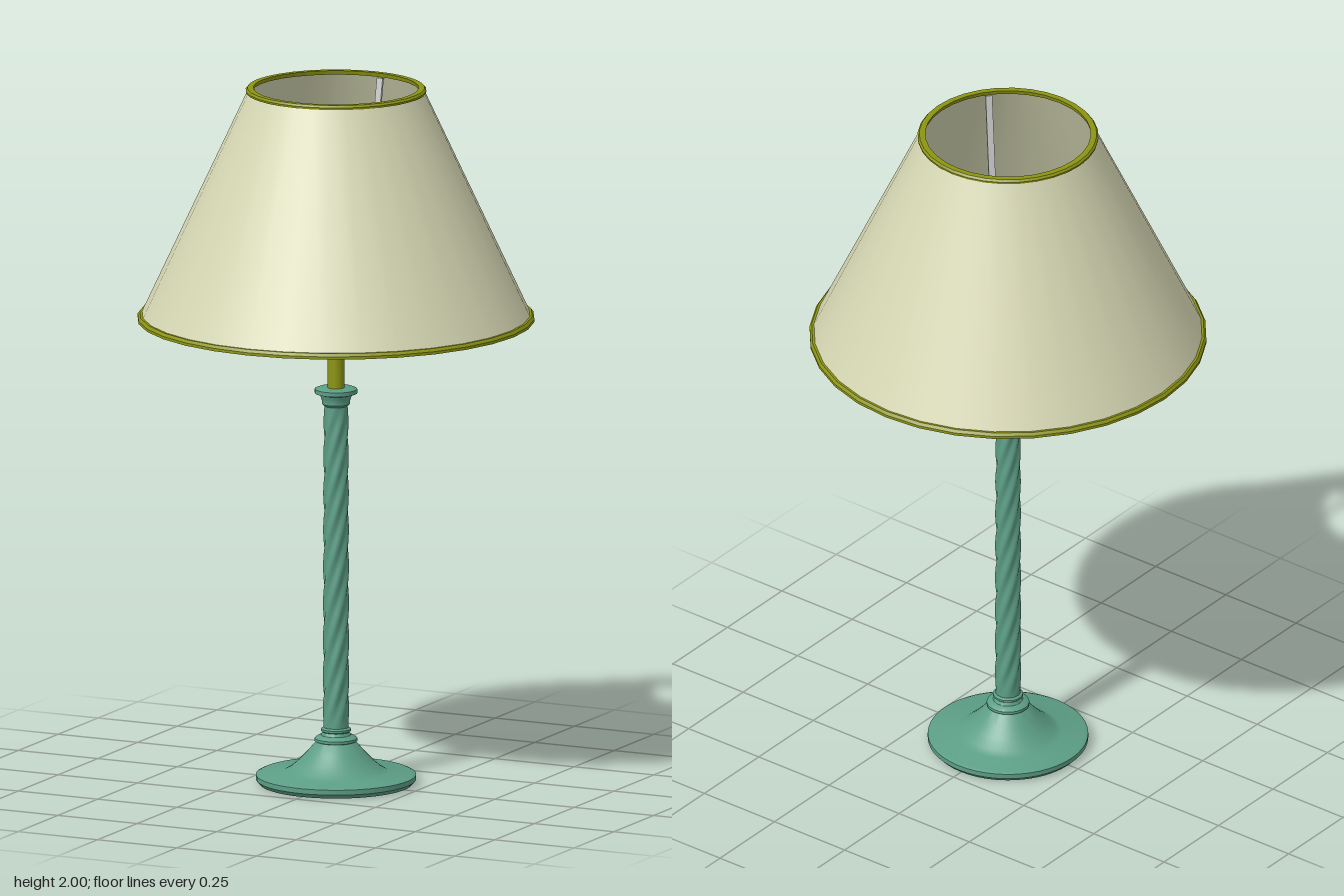
import * as THREE from 'three';
import { toCreasedNormals } from 'three/addons/utils/BufferGeometryUtils.js';

const material = (color) => new THREE.MeshStandardMaterial({ color, side: THREE.DoubleSide });

export function createModel() {
  const lamp = new THREE.Group();
  lamp.name = 'tableLamp';
  const green = material(0x5c9e86);
  const olive = material(0x8c9412);
  const cream = material(0xd6d7b3);
  const grey = material(0xcccccc);

  const add = (name, geometry, mat, parent = lamp) => {
    const mesh = new THREE.Mesh(geometry, mat);
    mesh.name = name;
    parent.add(mesh);
    return mesh;
  };
  // Profile of [radius, height] pairs spun about the lamp's axis, hard edges kept
  const lathe = (name, profile, mat, sides = 32) => {
    const points = profile.map(([r, y]) => new THREE.Vector2(r, y));
    return add(name, toCreasedNormals(new THREE.LatheGeometry(points, sides), 0.6), mat);
  };

  // Base: flat rimmed disc sweeping up into a concave cone
  lathe('base', [
    [0, 0], [0.215, 0], [0.226, 0.012], [0.226, 0.026], [0.215, 0.031], [0.15, 0.033],
    [0.13, 0.044], [0.105, 0.066], [0.082, 0.09], [0.062, 0.113], [0.054, 0.12],
    [0.06, 0.122], [0.06, 0.13], [0.052, 0.136], [0.042, 0.139], [0.038, 0.148],
    [0.042, 0.151], [0.042, 0.157], [0.034, 0.162], [0, 0.162],
  ], green, 48);

  // Column: cylinder with spiral flutes
  const columnHeight = 0.95;
  const column = new THREE.CylinderGeometry(0.033, 0.035, columnHeight, 48, 72, true);
  const p = column.attributes.position;
  for (let i = 0; i < p.count; i++) {
    const t = p.getY(i) / columnHeight + 0.5;
    const angle = Math.atan2(p.getZ(i), p.getX(i));
    const fade = Math.min(1, 12 * t, 12 * (1 - t));
    const scale = 1 + 0.075 * fade * Math.cos(6 * (angle + t * Math.PI * 3));
    p.setX(i, p.getX(i) * scale);
    p.setZ(i, p.getZ(i) * scale);
  }
  column.computeVertexNormals();
  add('spiralColumn', column, green).position.y = 0.155 + columnHeight / 2;

  // Collar capping the column
  lathe('collar', [
    [0.033, 1.085], [0.04, 1.092], [0.04, 1.102], [0.043, 1.11], [0.046, 1.118],
    [0.06, 1.122], [0.06, 1.134], [0.05, 1.138], [0, 1.138],
  ], green);

  // Hollow stem and lamp holder
  lathe('stem', [[0.024, 1.13], [0.024, 1.285]], olive, 24);
  lathe('socket', [
    [0.024, 1.28], [0.044, 1.28], [0.053, 1.288], [0.056, 1.3], [0.056, 1.33],
    [0.061, 1.332], [0.061, 1.348], [0.05, 1.35], [0.05, 1.362], [0.056, 1.364],
    [0.056, 1.39], [0.052, 1.398], [0.044, 1.398], [0.044, 1.3], [0.025, 1.3],
  ], grey);

  // Shade carrier: three flat arms, each running out and then up to the top ring
  const carrier = new THREE.Group();
  carrier.name = 'shadeCarrier';
  lamp.add(carrier);
  const bar = (name, [r0, y0], [r1, y1], width, parent) => {
    const length = Math.hypot(r1 - r0, y1 - y0);
    const mesh = add(name, new THREE.BoxGeometry(length, 0.007, width), grey, parent);
    mesh.position.set((r0 + r1) / 2, (y0 + y1) / 2, 0);
    mesh.rotation.z = Math.atan2(y1 - y0, r1 - r0);
  };
  for (const degrees of [-85, 39, 163]) {
    const arm = new THREE.Group();
    arm.name = 'carrierArm';
    arm.rotation.y = -THREE.MathUtils.degToRad(degrees);
    carrier.add(arm);
    bar('armFoot', [0.055, 1.34], [0.132, 1.34], 0.016, arm);
    bar('armUpright', [0.13, 1.337], [0.238, 1.985], 0.019, arm);
  }

  // Shade: open cone with a trim band at each end
  lathe('shade', [[0.552, 1.34], [0.247, 1.994]], cream);
  lathe('bottomTrim', [
    [0.545, 1.334], [0.56, 1.334], [0.56, 1.342], [0.554, 1.35], [0.54, 1.35], [0.545, 1.334],
  ], olive);
  lathe('topTrim', [
    [0.236, 1.988], [0.254, 1.988], [0.255, 1.994], [0.25, 2], [0.233, 2], [0.236, 1.988],
  ], olive);

  return lamp;
}
